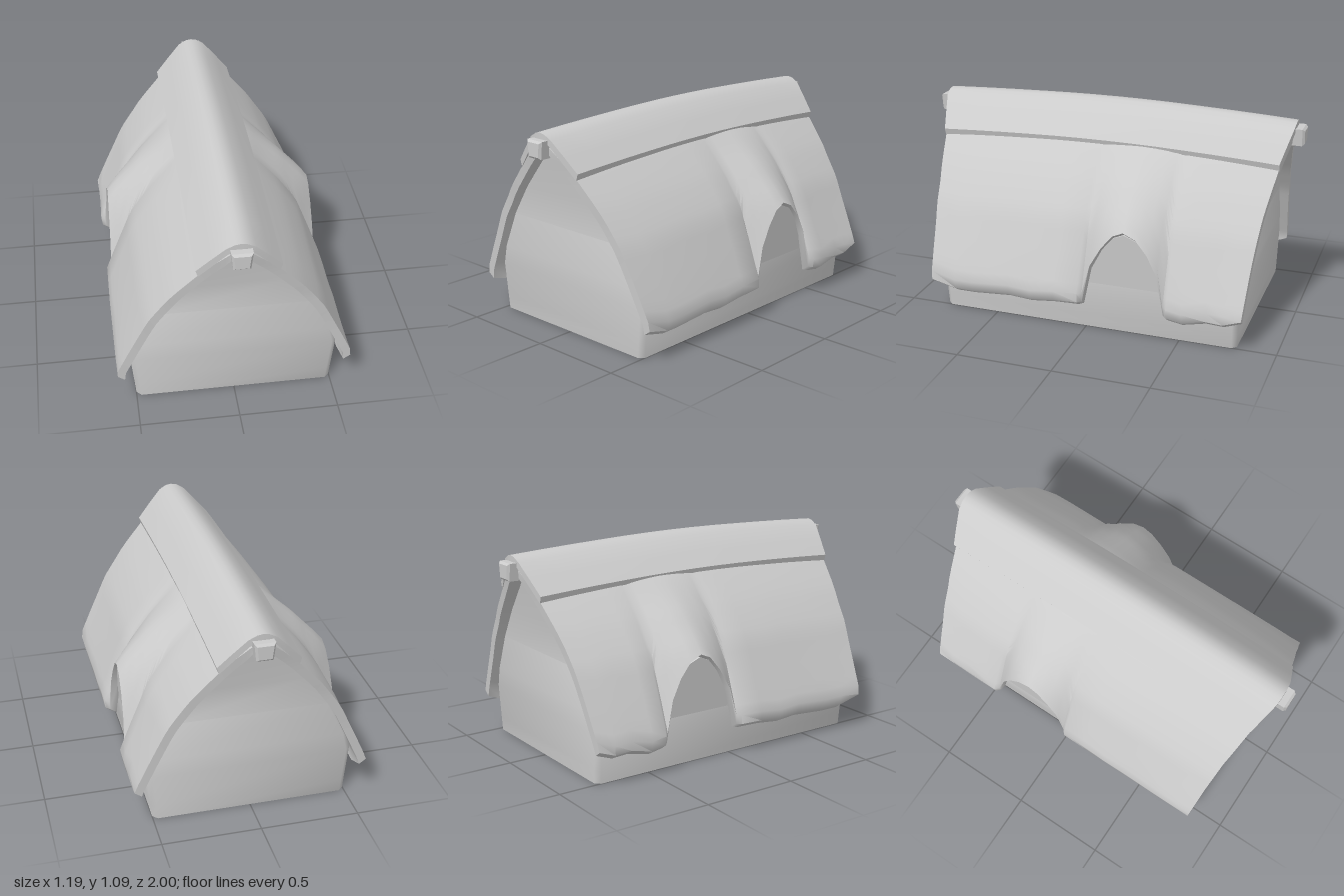
import * as THREE from 'three';
import { toCreasedNormals } from 'three/addons/utils/BufferGeometryUtils.js';

const clamp = (v) => Math.min(1, Math.max(0, v));

// piecewise linear lookup in a list of [key, value], keys ascending
function lookup(list, k) {
  if (k <= list[0][0]) return list[0][1];
  for (let i = 1; i < list.length; i++) {
    const [a, va] = list[i - 1], [b, vb] = list[i];
    if (k <= b) return va + (vb - va) * (k - a) / (b - a);
  }
  return list[list.length - 1][1];
}

// closed skin through rings of points, with both ends filled
function loft(rings, crease) {
  const n = rings[0].length, last = (rings.length - 1) * n, index = [];
  const quad = (a, b, c, d) => index.push(a, b, c, a, c, d);
  for (let j = 0; j < rings.length - 1; j++) {
    for (let i = 0; i < n; i++) {
      const k = (i + 1) % n, p = j * n, q = p + n;
      quad(p + i, p + k, q + k, q + i);
    }
  }
  for (let i = 0; i < n / 2 - 1; i++) {
    quad(n - 1 - i, n - 2 - i, i + 1, i);
    quad(last + i, last + i + 1, last + n - 2 - i, last + n - 1 - i);
  }
  const g = new THREE.BufferGeometry();
  g.setAttribute('position', new THREE.Float32BufferAttribute(rings.flat(2), 3));
  g.setIndex(index);
  return toCreasedNormals(g, crease);
}

// ring over both slopes from a half profile (eave to ridge), thickened downwards
function shellRing(half, dx, dy) {
  const mirror = ([x, y, z]) => [-x, y, z];
  const full = (h) => [...h, ...h.slice(0, -1).reverse().map(mirror)];
  const inner = half.map(([x, y, z]) => [x - dx * clamp(x / 0.1), y - dy, z]);
  return [...full(half), ...full(inner).reverse()];
}

// dormer arch, z and height
const ARCH = [[-0.43, 0.16], [-0.39, 0.36], [-0.34, 0.455], [-0.28, 0.525], [-0.215, 0.553],
  [-0.16, 0.53], [-0.1, 0.46], [-0.04, 0.36], [0, 0.17]];
// wavy eave height along z
const EAVE = [[-0.83, 0.2], [-0.74, 0.165], [-0.65, 0.17], [-0.53, 0.14], [-0.45, 0.155], ...ARCH,
  [0.02, 0.17], [0.15, 0.165], [0.28, 0.15], [0.4, 0.16], [0.6, 0.145], [0.7, 0.145], [0.83, 0.18]];
// roof half width and gable edge by height
const SLOPE = [[0.14, 0.585], [0.205, 0.595], [0.35, 0.525], [0.55, 0.425], [0.72, 0.305], [0.87, 0.17], [1.03, 0]];
const GABLE = [[0.15, 0.83], [0.45, 0.85], [0.65, 0.87], [0.87, 0.91], [1.03, 0.955]];

const sag = (z) => 1 - (z / 0.95) ** 2;
// gable ends flare out towards the ridge
const flare = (z, y) => z + Math.sign(z) * (lookup(GABLE, y) - 0.83) * clamp((Math.abs(z) - 0.45) / 0.38);

function roofGeometry() {
  const rows = 18;
  const swell = (y) => clamp((y - 0.2) / 0.4);
  const baseX = (y, z) => {
    const x = lookup(SLOPE, y);
    return x + 0.035 * sag(z) * swell(y) * clamp(x / 0.1);
  };
  const rings = EAVE.map(([z, eave]) => {
    const half = [];
    // slope is pulled out over the dormers
    const inDormer = z >= -0.43 && z <= 0;
    const lift = inDormer ? 0.555 + (0.57 - eave) * 0.03 - baseX(eave, z) : 0;
    for (let i = 0; i <= rows; i++) {
      const y = eave + (1.03 - eave) * i / rows;
      const x = baseX(y, z) + lift * clamp((0.95 - y) / (0.95 - eave));
      half.push([x, y + 0.02 * sag(z) * swell(y), flare(z, y)]);
    }
    return shellRing(half, 0.035, 0.025);
  });
  return loft(rings, 0.9);
}

function ridgeCapGeometry() {
  const profile = [[0.205, 0.877], [0.14, 0.95], [0.07, 1.025], [0.03, 1.047], [0, 1.052]];
  const rings = [];
  for (let i = 0; i <= 12; i++) {
    const v = -0.83 + 1.66 * i / 12;
    rings.push(shellRing(profile.map(([x, y]) =>
      [x, y + 0.04 * sag(v), flare(v, y - 0.01)]), 0.01, 0.035));
  }
  return loft(rings, 0.9);
}

function wallGeometry() {
  // height, half width, half depth
  const rows = [[0, 0.5, 0.795], [0.07, 0.506, 0.797], [0.25, 0.523, 0.8], [0.35, 0.5, 0.802],
    [0.55, 0.405, 0.81], [0.72, 0.285, 0.825], [0.87, 0.15, 0.845], [1.0, 0.025, 0.865]];
  return loft(rows.map(([y, w, d]) => {
    const c = Math.min(0.025, w / 2);
    return [[w, y, d - c], [w, y, c - d], [w - c, y, -d], [c - w, y, -d],
      [-w, y, c - d], [-w, y, d - c], [c - w, y, d], [w - c, y, d]];
  }), 0.9);
}

// arched wall under a dormer, leaning slightly outwards
function dormerWallGeometry(side) {
  const shape = new THREE.Shape();
  shape.moveTo(0.43, 0.1);
  ARCH.forEach(([z, y]) => shape.lineTo(-z, y));
  shape.lineTo(0, 0.1);
  const g = new THREE.ExtrudeGeometry(shape, { depth: 0.16, bevelEnabled: false });
  g.rotateY(Math.PI / 2);
  if (side < 0) g.translate(-0.16, 0, 0);
  const p = g.attributes.position;
  for (let i = 0; i < p.count; i++) {
    const offset = side > 0 ? 0.34 : -0.34;
    p.setX(i, p.getX(i) + offset + side * 0.08 * p.getY(i));
  }
  g.computeVertexNormals();
  return g;
}

// tapered beam with softened ends
function beamGeometry() {
  const shape = new THREE.Shape();
  [[-0.032, 0.952], [0.032, 0.952], [0.04, 1.02], [-0.04, 1.02]].forEach(([x, y], i) =>
    i ? shape.lineTo(x, y) : shape.moveTo(x, y));
  const g = new THREE.ExtrudeGeometry(shape, {
    depth: 1.976, bevelThickness: 0.012, bevelSize: 0.011, bevelSegments: 1,
  });
  return g.translate(0, 0, -0.988);
}

export function createModel() {
  const group = new THREE.Group();
  const material = new THREE.MeshStandardMaterial({ color: 0xcccccc });
  const add = (name, geometry) => {
    const mesh = new THREE.Mesh(geometry, material);
    mesh.name = name;
    group.add(mesh);
  };
  add('walls', wallGeometry());
  add('roof', roofGeometry());
  add('ridgeCap', ridgeCapGeometry());
  add('ridgeBeam', beamGeometry());
  add('leftDormerWall', dormerWallGeometry(1));
  add('rightDormerWall', dormerWallGeometry(-1));
  return group;
}
